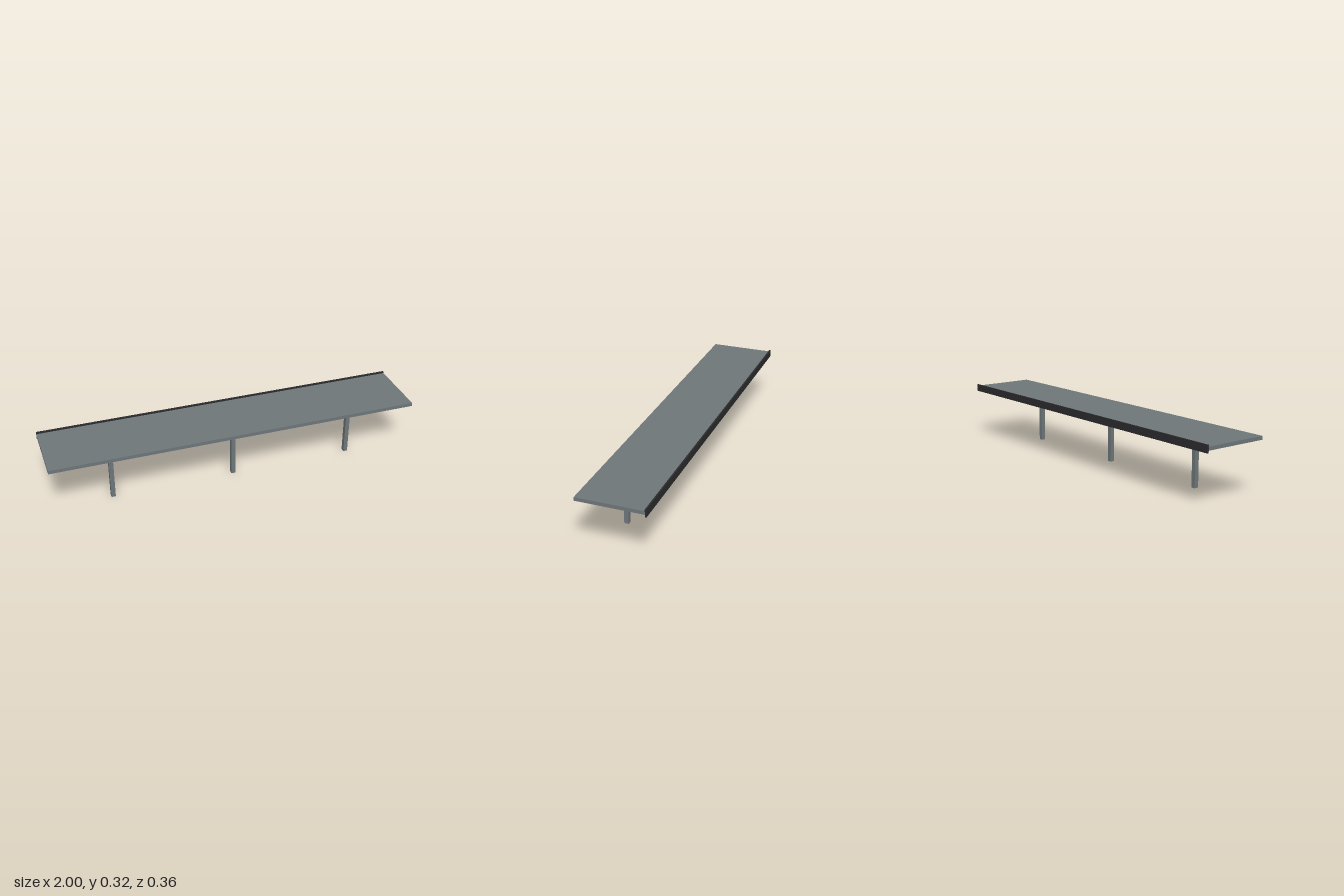
import * as THREE from 'three';

const concrete = new THREE.MeshStandardMaterial({ color: 0x6e7679 });
const dark = new THREE.MeshStandardMaterial({ color: 0x2c2c2e });

// Box given by its centre x, width, and y and z ranges
function box(name, material, x, width, [y0, y1], [z0, z1]) {
  const mesh = new THREE.Mesh(new THREE.BoxGeometry(width, y1 - y0, z1 - z0), material);
  mesh.name = name;
  mesh.position.set(x, (y0 + y1) / 2, (z0 + z1) / 2);
  return mesh;
}

export function createModel() {
  const model = new THREE.Group();
  model.name = 'platform';

  // Long flat deck
  model.add(box('deck', concrete, 0, 2, [0.289, 0.308], [-0.173, 0.179]));

  // Upright edge strip along the back, slightly taller than the deck
  model.add(box('backEdgeStrip', dark, 0, 2, [0.277, 0.317], [-0.179, -0.171]));

  // Row of three square posts, set towards the front
  ['rightPost', 'middlePost', 'leftPost'].forEach((name, i) => {
    model.add(box(name, concrete, (i - 1) * 0.667, 0.023, [0, 0.289], [0.055, 0.079]));
  });

  return model;
}
